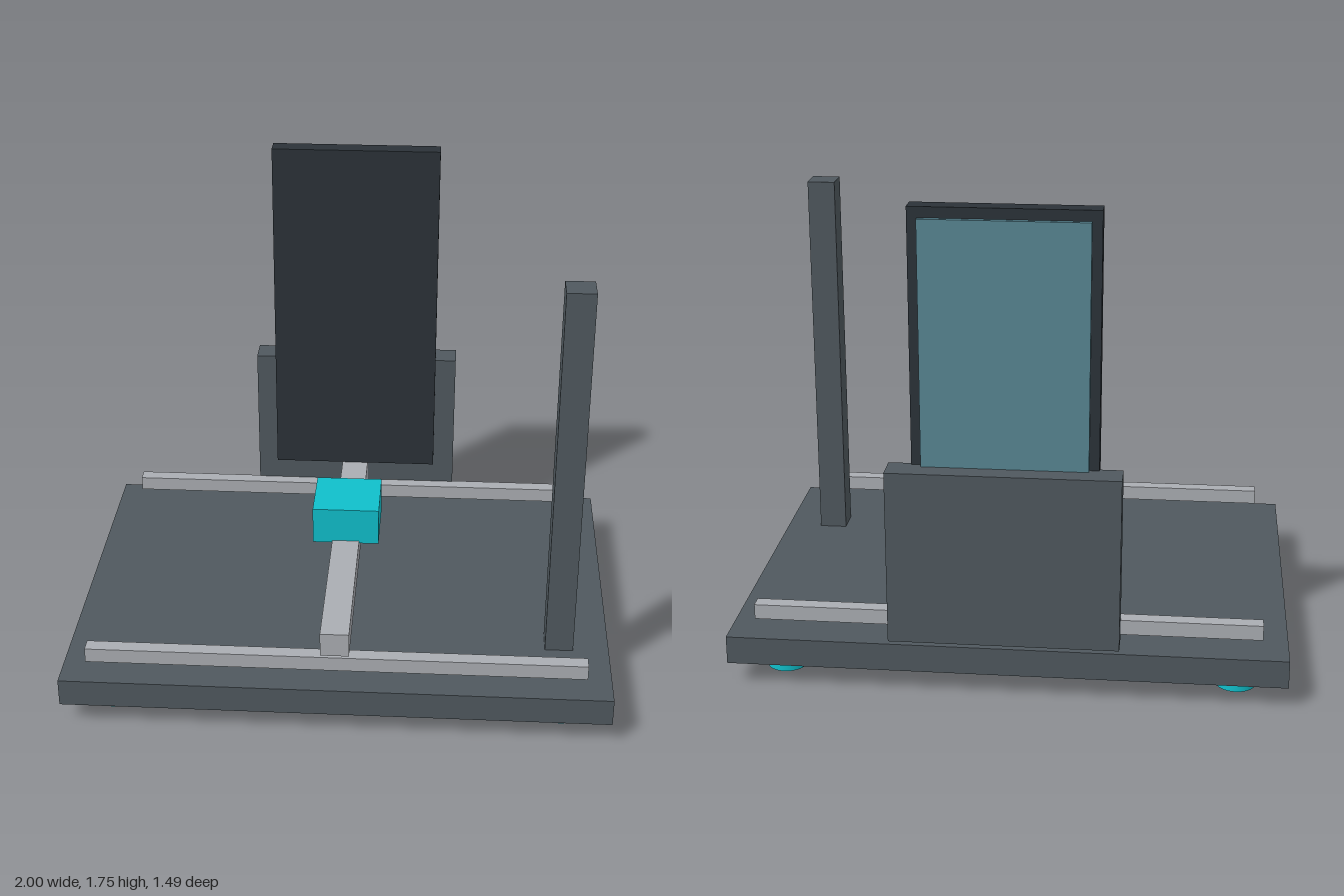
import * as THREE from 'three';

const material = (name, color) => {
  const m = new THREE.MeshStandardMaterial({ color });
  m.name = name;
  return m;
};

export function createModel() {
  const frame = material('slate grey', 0x4f585e);
  const dark = material('charcoal', 0x2b3238);
  const metal = material('aluminium', 0xaaadb2);
  const cyan = material('cyan', 0x10bfcb);
  const brass = material('brass', 0xc0945a);
  const glass = material('glass blue', 0x578592);

  const model = new THREE.Group();
  model.name = 'machine';

  const add = (name, geometry, mat, x, y, z) => {
    const mesh = new THREE.Mesh(geometry, mat);
    mesh.name = name;
    mesh.position.set(x, y, z);
    model.add(mesh);
  };
  // Box given by its extents on each axis
  const box = (name, mat, [x0, x1], [y0, y1], [z0, z1]) =>
    add(name, new THREE.BoxGeometry(x1 - x0, y1 - y0, z1 - z0), mat,
      (x0 + x1) / 2, (y0 + y1) / 2, (z0 + z1) / 2);

  // Base and its four feet
  box('base', frame, [-1, 1], [0.08, 0.183], [-0.709, 0.743]);
  for (const x of [-0.82, 0.82])
    for (const z of [-0.528, 0.565])
      add('foot', new THREE.CylinderGeometry(0.073, 0.073, 0.08, 32), cyan, x, 0.04, z);

  // Two cross rails and the beam over them
  for (const z of [-0.618, 0.655])
    box('rail', metal, [-0.907, 0.907], [0.229, 0.284], [z - 0.027, z + 0.027]);
  box('beam', metal, [-0.052, 0.052], [0.303, 0.394], [-0.66, 0.697]);

  // Carriage block and the screw beneath it
  box('carriage', cyan, [-0.127, 0.127], [0.385, 0.53], [-0.2, 0.052]);
  add('screw', new THREE.CylinderGeometry(0.036, 0.036, 0.29, 32), brass, 0, 0.198, -0.072);

  // Upright post at the front left
  box('post', frame, [0.764, 0.868], [0.183, 1.618], [0.328, 0.436]);

  // Rear housing, tall panel and the glass on its back
  box('housing', frame, [-0.407, 0.407], [0.213, 0.847], [-0.745, -0.64]);
  box('panel', dark, [-0.325, 0.325], [0.395, 1.755], [-0.653, -0.582]);
  box('panelGlass', glass, [-0.29, 0.29], [0.433, 1.717], [-0.672, -0.652]);

  return model;
}
